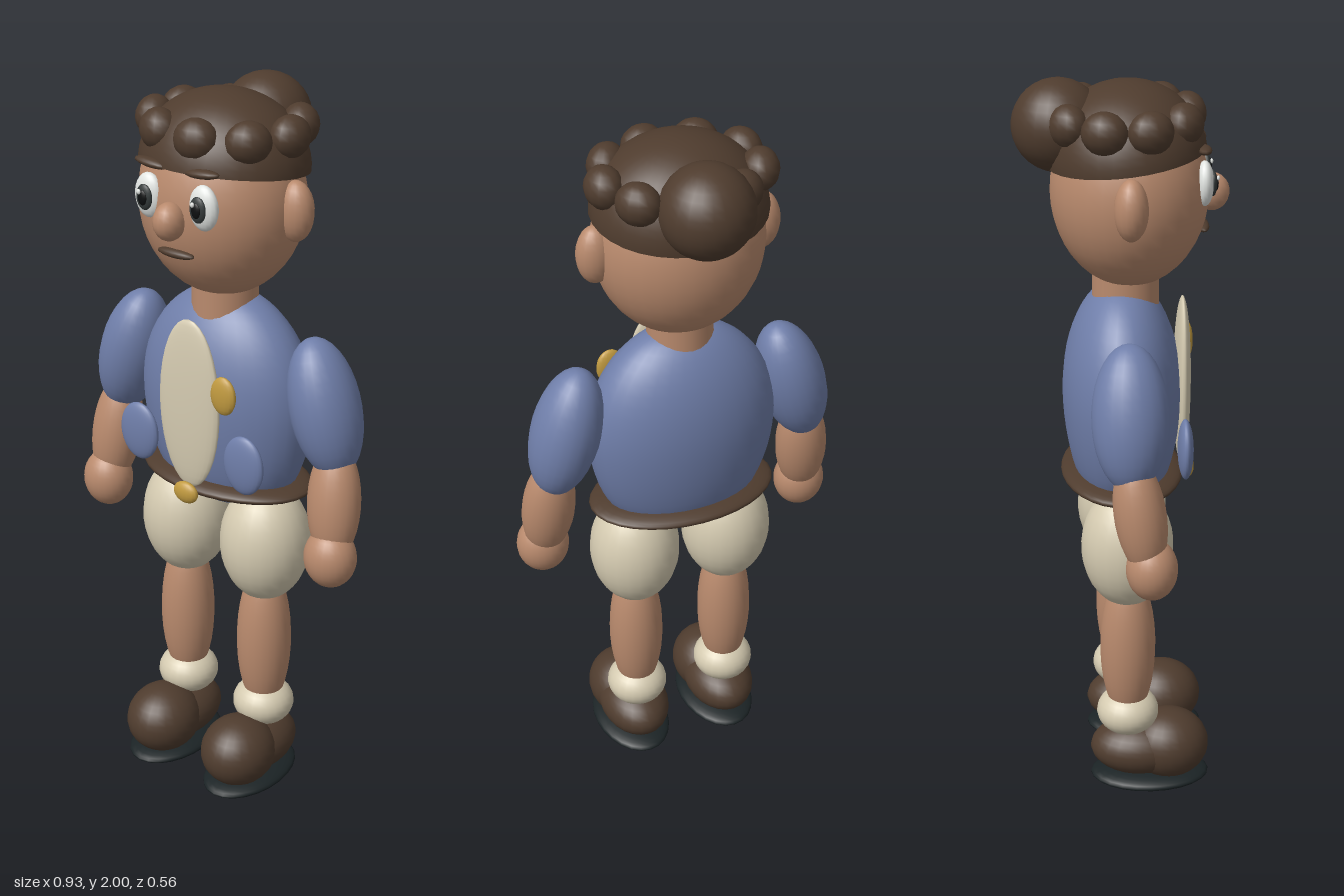
import * as THREE from 'three';

const mat = (name, color) => {
  const m = new THREE.MeshStandardMaterial({ color });
  m.name = name;
  return m;
};

export function createModel() {
  const skin = mat('skin', 0xb98a6d);
  const blue = mat('blue cloth', 0x6f7ea9);
  const cream = mat('cream cloth', 0xd5cbb1);
  const brown = mat('dark brown', 0x4f3c2e);
  const sole = mat('sole black', 0x1b2325);
  const gold = mat('gold', 0xc29b40);
  const white = mat('eye white', 0xe2e5e2);
  const iris = mat('iris', 0x343a3a);
  const black = mat('pupil black', 0x0d0f10);

  const model = new THREE.Group();
  model.name = 'figure';

  const add = (name, geometry, material, pos) => {
    const mesh = new THREE.Mesh(geometry, material);
    mesh.name = name;
    mesh.position.set(...pos);
    model.add(mesh);
    return mesh;
  };
  // Smooth ellipsoid with given centre and half-sizes
  const ball = (name, material, pos, radii, segs = 24) => {
    const g = new THREE.SphereGeometry(1, segs, Math.round(segs * 0.7));
    g.scale(...radii);
    return add(name, g, material, pos);
  };

  // Torso: rounded barrel, flattened front to back
  const outline = new THREE.SplineCurve([
    [0, 0.84], [0.1, 0.853], [0.18, 0.9], [0.222, 0.955], [0.253, 1.05], [0.265, 1.16],
    [0.25, 1.26], [0.21, 1.345], [0.15, 1.41], [0.08, 1.448], [0, 1.46],
  ].map(([x, y]) => new THREE.Vector2(x, y)));
  const profile = outline.getPoints(28).map(p => new THREE.Vector2(Math.max(0, p.x), p.y));
  const torso = new THREE.LatheGeometry(profile, 32);
  torso.scale(1, 1, 0.605);
  add('torso', torso, blue, [0, 0, 0]);

  // Clothing details
  ball('shirtPanel', cream, [0, 1.175, 0.163], [0.1, 0.24, 0.023]);
  ball('belt', brown, [0, 0.923, 0], [0.265, 0.034, 0.167], 32);
  ball('buckle', gold, [0, 0.923, 0.182], [0.04, 0.031, 0.017], 16);
  ball('badge', gold, [0.132, 1.243, 0.187], [0.04, 0.053, 0.016], 16);

  // Neck and head
  add('neck', new THREE.CylinderGeometry(0.088, 0.09, 0.16, 24), skin, [0, 1.44, 0.01]);
  ball('head', skin, [0, 1.71, 0.02], [0.225, 0.255, 0.207], 32);
  ball('nose', skin, [0, 1.7, 0.235], [0.041, 0.05, 0.046], 16);
  ball('mouth', brown, [0, 1.61, 0.211], [0.058, 0.012, 0.018], 16);

  // Hair cap, tilted back, closed underneath
  const cap = new THREE.Group();
  cap.name = 'hairCap';
  const dome = new THREE.Mesh(new THREE.SphereGeometry(1, 32, 14, 0, Math.PI * 2, 0, Math.PI / 2), brown);
  dome.name = 'hairDome';
  const rim = new THREE.Mesh(new THREE.CircleGeometry(1, 32), brown);
  rim.name = 'hairUnderside';
  rim.rotation.x = Math.PI / 2;
  cap.add(dome, rim);
  cap.scale.set(0.23, 0.193, 0.208);
  cap.position.set(0, 1.8, 0.013);
  cap.rotation.x = -0.12;
  model.add(cap);

  // Ring of curls and the bun
  for (let i = 0; i < 9; i++) {
    const a = (i * 40 * Math.PI) / 180;
    const curl = ball('curl', brown, [0.2 * Math.cos(a), 1.9, 0.005 + 0.168 * Math.sin(a)], [0.05, 0.055, 0.06], 14);
    curl.rotation.y = -a;
  }
  ball('bun', brown, [0, 1.88, -0.163], [0.121, 0.12, 0.121], 24);

  // Paired parts; s = 1 is the model's left
  for (const s of [1, -1]) {
    const side = s > 0 ? 'left' : 'right';

    // Face
    ball(side + 'Ear', skin, [s * 0.226, 1.715, 0.012], [0.05, 0.08, 0.044], 18);
    ball(side + 'Eye', white, [s * 0.088, 1.745, 0.207], [0.043, 0.059, 0.024], 18);
    ball(side + 'Iris', iris, [s * 0.086, 1.745, 0.229], [0.025, 0.034, 0.01], 16);
    ball(side + 'Pupil', black, [s * 0.086, 1.745, 0.237], [0.014, 0.02, 0.006], 12);
    ball(side + 'Glint', white, [s * 0.086 - 0.008, 1.76, 0.241], [0.006, 0.007, 0.004], 10);
    const brow = ball(side + 'Brow', brown, [s * 0.08, 1.83, 0.205], [0.054, 0.012, 0.02], 14);
    brow.rotation.z = s * 0.08;

    // Jacket pocket and sleeve
    ball(side + 'Pocket', blue, [s * 0.178, 1.047, 0.16], [0.064, 0.083, 0.021]);
    const sleeve = ball(side + 'Sleeve', blue, [s * 0.326, 1.2, 0.005], [0.093, 0.191, 0.1]);
    sleeve.rotation.z = s * 0.27;

    // Forearm and hand
    const forearm = ball(side + 'Forearm', skin, [s * 0.377, 0.95, 0.028], [0.073, 0.165, 0.068]);
    forearm.rotation.set(-0.14, 0, s * 0.08);
    ball(side + 'Hand', skin, [s * 0.39, 0.803, 0.058], [0.073, 0.084, 0.068]);

    // Leg, sock and shoe
    ball(side + 'Breeches', cream, [s * 0.138, 0.75, 0.008], [0.126, 0.175, 0.126]);
    ball(side + 'Leg', skin, [s * 0.138, 0.44, 0.01], [0.077, 0.235, 0.077]);
    ball(side + 'Sock', cream, [s * 0.138, 0.232, 0.01], [0.087, 0.068, 0.087]);
    ball(side + 'Shoe', brown, [s * 0.138, 0.117, 0.045], [0.1, 0.08, 0.14]);
    ball(side + 'ShoeToe', brown, [s * 0.138, 0.122, 0.125], [0.105, 0.1, 0.115]);
    ball(side + 'Sole', sole, [s * 0.138, 0.029, 0.073], [0.108, 0.027, 0.168]);
  }
  return model;
}
